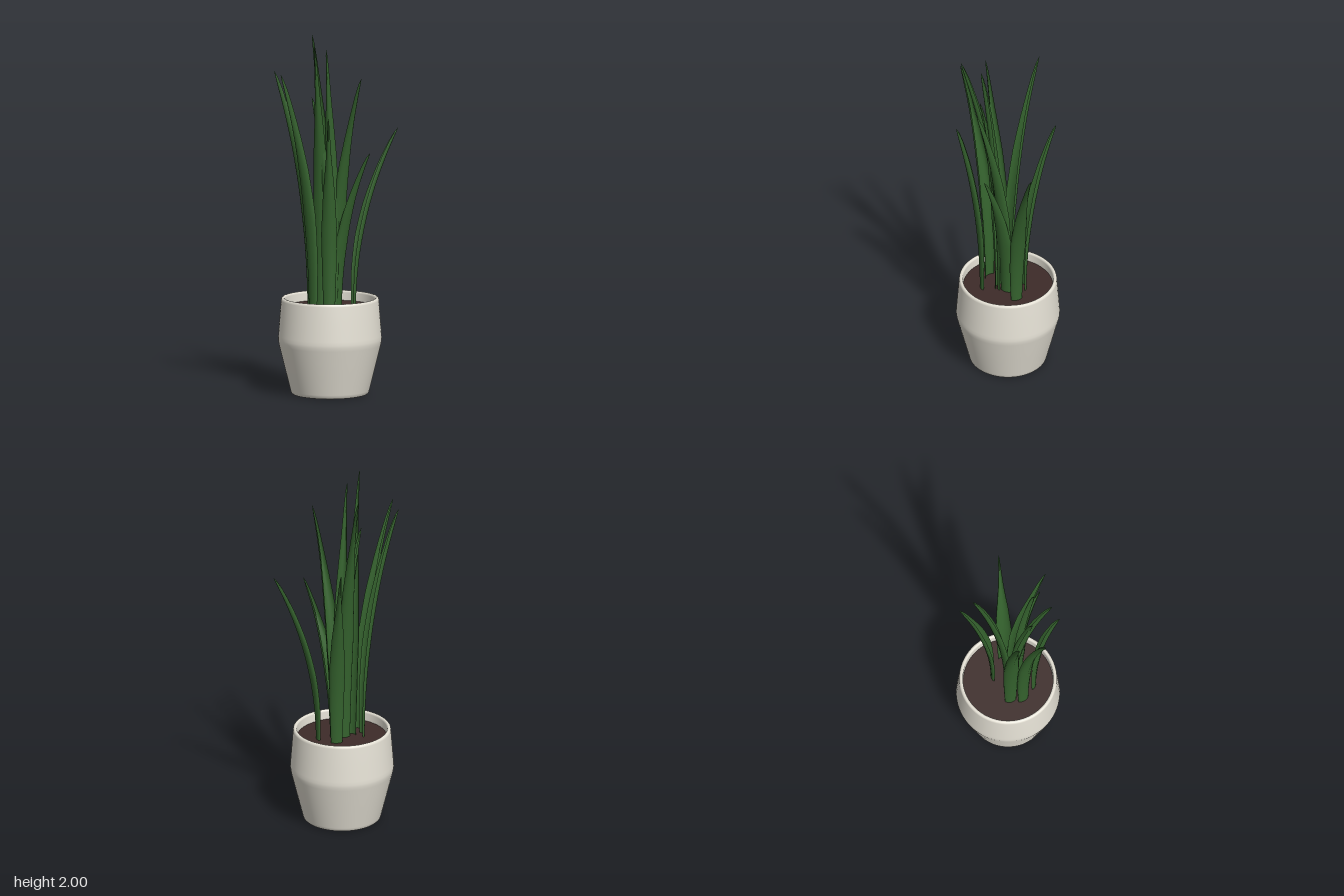
import * as THREE from 'three';

const POT_X = -0.033;
const SOIL_Y = 0.49;

// One leaf per row: base x, base z, tip x, tip y, tip z
const LEAVES = [
  [0.11, -0.015, 0.355, 1.49, -0.032],
  [0.005, -0.09, 0.0, 1.585, -0.27],
  [-0.05, -0.015, -0.105, 2.0, -0.2],
  [-0.155, 0.01, -0.355, 1.84, 0.046],
  [-0.15, 0.085, -0.34, 1.84, 0.195],
  [0.005, 0.03, 0.112, 1.81, 0.218],
  [0.015, 0.03, 0.165, 1.385, 0.19],
  [-0.085, 0.03, -0.157, 2.0, 0.24],
  [-0.06, 0.15, -0.085, 1.6, 0.285],
  [-0.035, 0.055, -0.077, 1.97, 0.145],
  [-0.045, 0.055, -0.155, 1.7, 0.13],
];

// Half width and fold depth along a leaf: [t, halfWidth, depth]
const BLADE = [
  [0, 0.032, 0.018], [0.2, 0.04, 0.028], [0.4, 0.045, 0.035], [0.6, 0.034, 0.035],
  [0.8, 0.015, 0.03], [0.93, 0.007, 0.022], [0.98, 0.004, 0.012], [1, 0.001, 0.001],
];

function bladeAt(t, column) {
  let i = 0;
  while (i < BLADE.length - 2 && t > BLADE[i + 1][0]) i++;
  const a = BLADE[i], b = BLADE[i + 1];
  return THREE.MathUtils.lerp(a[column], b[column], (t - a[0]) / (b[0] - a[0]));
}

// A cupped blade that leans outward and folds shut toward its tip
function leafGeometry([bx, bz, tx, ty, tz]) {
  const geometry = new THREE.PlaneGeometry(1, 1, 10, 40);
  const position = geometry.attributes.position;
  const reach = Math.hypot(tx - bx, tz - bz);
  const out = new THREE.Vector3(tx - bx, 0, tz - bz).divideScalar(reach);
  const side = new THREE.Vector3(out.z, 0, -out.x);
  const height = ty - SOIL_Y + 0.01;
  const power = 2.1;
  const p = new THREE.Vector3();
  for (let i = 0; i < position.count; i++) {
    const u = position.getX(i) * 2;
    const t = position.getY(i) + 0.5;
    const lean = reach * Math.pow(t, power);
    const slope = (reach * power * Math.pow(t, power - 1)) / height;
    const norm = Math.hypot(1, slope);
    const fold = bladeAt(t, 2) * (Math.pow(Math.abs(u), 1.5) - 0.25);
    const width = bladeAt(t, 1) * Math.sin(u * 1.75) / Math.sin(Math.PI / 2);
    p.set(bx, SOIL_Y - 0.01 + t * height, bz)
      .addScaledVector(out, lean - fold / norm)
      .addScaledVector(side, width);
    p.y += fold * slope / norm * (1 - t);
    position.setXYZ(i, p.x, p.y, p.z);
  }
  geometry.computeVertexNormals();
  return geometry;
}

export function createModel() {
  const ceramic = new THREE.MeshStandardMaterial({ color: 0xe6e2d6 });
  ceramic.name = 'ceramic';
  const earth = new THREE.MeshStandardMaterial({ color: 0x3d2b29 });
  earth.name = 'earth';
  const green = new THREE.MeshStandardMaterial({ color: 0x35632e, side: THREE.DoubleSide });
  green.name = 'leaf green';

  const model = new THREE.Group();
  model.name = 'pottedPlant';

  // Pot: closed bottom, flared body, rounded rim and inner wall
  const profile = [
    [0, 0], [0.2, 0], [0.21, 0.003], [0.217, 0.01], [0.221, 0.024],
    [0.254, 0.155], [0.285, 0.28], [0.289, 0.3], [0.29, 0.315], [0.289, 0.335],
    [0.281, 0.44], [0.274, 0.53], [0.272, 0.54], [0.266, 0.545],
    [0.259, 0.545], [0.254, 0.541], [0.252, 0.533], [0.25, 0.47],
  ].map(([r, y]) => new THREE.Vector2(r, y));
  const pot = new THREE.Mesh(new THREE.LatheGeometry(profile, 64), ceramic);
  pot.name = 'pot';
  pot.position.x = POT_X;
  model.add(pot);

  // Soil surface
  const soil = new THREE.Mesh(new THREE.CircleGeometry(0.251, 64), earth);
  soil.name = 'soil';
  soil.rotation.x = -Math.PI / 2;
  soil.position.set(POT_X, SOIL_Y, 0);
  model.add(soil);

  // Leaves
  const leaves = new THREE.Group();
  leaves.name = 'leaves';
  LEAVES.forEach((row, i) => {
    const leaf = new THREE.Mesh(leafGeometry(row), green);
    leaf.name = `leaf${i + 1}`;
    leaves.add(leaf);
  });
  model.add(leaves);

  return model;
}
